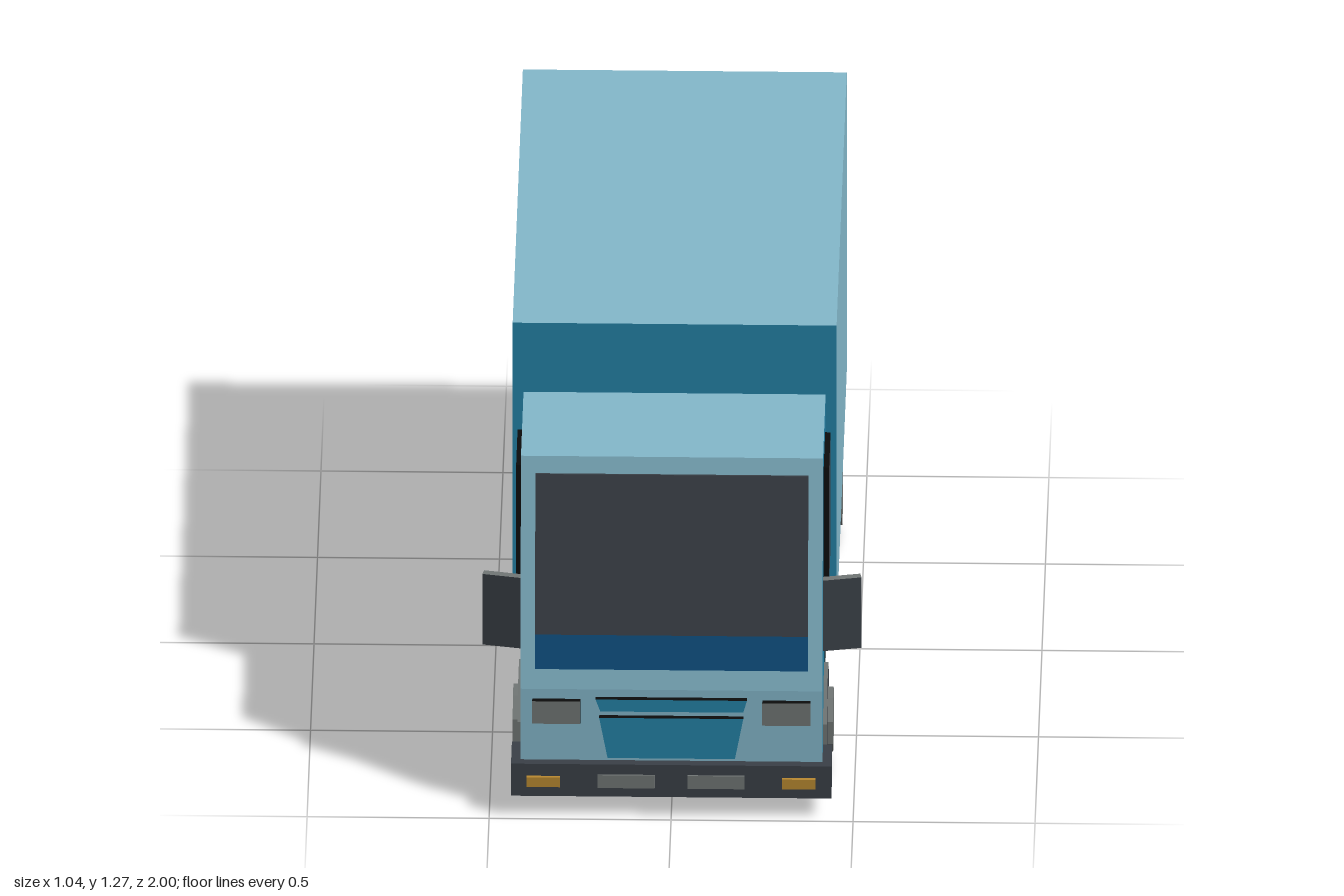
import * as THREE from 'three';

const mat = (name, hex) => {
  const m = new THREE.MeshStandardMaterial({ color: hex });
  m.name = name;
  return m;
};

export function createModel() {
  const light = mat('paleBlue', 0x84b8cb);
  const teal = mat('teal', 0x2482a7);
  const dark = mat('darkGrey', 0x3a4047);
  const black = mat('black', 0x0c0c0c);
  const grey = mat('grey', 0x717675);
  const orange = mat('orange', 0xb98930);
  const navy = mat('navy', 0x0f4e7e);

  const truck = new THREE.Group();
  truck.name = 'boxTruck';

  const add = (name, geo, material, parent = truck) => {
    const m = new THREE.Mesh(geo, material);
    m.name = name;
    parent.add(m);
    return m;
  };
  // Box from its limits; material order is +x, -x, +y, -y, +z, -z
  const box = (name, material, [x0, x1], [y0, y1], [z0, z1], parent = truck) => {
    const m = add(name, new THREE.BoxGeometry(x1 - x0, y1 - y0, z1 - z0), material, parent);
    m.position.set((x0 + x1) / 2, (y0 + y1) / 2, (z0 + z1) / 2);
    return m;
  };
  const shapeOf = (pts) => new THREE.Shape(pts.map(([a, b]) => new THREE.Vector2(a, b)));
  // Side profile of [z, y] points, extruded across x from x0 to x1
  const across = (name, mats, pts, x0, x1) => {
    const g = new THREE.ExtrudeGeometry(shapeOf(pts), { depth: x1 - x0, bevelEnabled: false });
    g.rotateY(-Math.PI / 2).translate(x1, 0, 0);
    return add(name, g, mats);
  };
  // Front profile of [x, y] points, extruded along z from z0 to z1
  const along = (name, mats, pts, z0, z1) => {
    const g = new THREE.ExtrudeGeometry(shapeOf(pts), { depth: z1 - z0, bevelEnabled: false });
    return add(name, g.translate(0, 0, z0), mats);
  };
  // Faceted eight-sided cylinder lying along x, with a flat underside
  const octagon = (apothem, width) => {
    const r = apothem / Math.cos(Math.PI / 8);
    const g = new THREE.CylinderGeometry(r, r, width, 8).rotateY(Math.PI / 8).rotateZ(-Math.PI / 2).toNonIndexed();
    g.computeVertexNormals();
    return g;
  };

  // Cargo box with teal ends and underside
  box('cargoBox', [light, light, light, teal, teal, teal], [-0.445, 0.445], [0.335, 1.27], [-0.98, 0.485]);

  // Cab: pale wrap-around skin, teal sides
  across('cab', [teal, light], [
    [0.495, 0.33], [0.76, 0.33], [0.84, 0.26], [0.84, 0.08], [0.962, 0.08],
    [0.962, 0.385], [0.865, 1.06], [0.495, 1.06],
  ], -0.415, 0.415);

  // Windshield on the sloped front
  const slope = new THREE.Group();
  slope.name = 'windshield';
  slope.position.set(0, 0.385, 0.962);
  slope.rotation.x = -Math.atan2(0.097, 0.675);
  truck.add(slope);
  const up = (y) => (y - 0.385) / Math.cos(slope.rotation.x);
  box('glass', dark, [-0.375, 0.375], [up(0.545), up(1.01)], [0, 0.007], slope);
  box('lowerGlassBand', navy, [-0.375, 0.375], [up(0.445), up(0.545)], [0, 0.007], slope);

  // Grille
  along('upperGrille', [teal, black], [[-0.195, 0.325], [0.198, 0.325], [0.208, 0.362], [-0.208, 0.362]], 0.95, 0.978);
  along('lowerGrille', [teal, black], [[-0.175, 0.18], [0.175, 0.18], [0.198, 0.305], [-0.198, 0.305]], 0.95, 0.978);

  // Front bumper, wider than the cab
  box('frontBumper', dark, [-0.44, 0.44], [0.065, 0.165], [0.86, 0.988]);

  // Chassis and tail bracket
  box('chassis', black, [-0.2, 0.2], [0.23, 0.365], [-0.79, 0.82]);
  box('rearCrossMember', black, [-0.33, 0.33], [0.23, 0.336], [-0.79, -0.7]);
  across('tailBracket', black, [[-0.79, 0.24], [-0.79, 0.315], [-0.93, 0.25], [-0.965, 0.23], [-0.965, 0.175]].reverse(), -0.33, 0.33);

  // Rear bumper
  box('rearBumper', [grey, grey, teal, black, black, dark], [-0.41, 0.41], [0.155, 0.27], [-0.96, -0.92]);

  // Equipment box under the cargo floor
  box('equipmentBox', [grey, grey, black, dark, black, black], [-0.41, 0.41], [0.085, 0.333], [-0.21, 0.285]);

  // Door handle across the rear seam
  box('doorHandle', [black, black, teal, black, grey, grey], [-0.115, 0.115], [0.475, 0.5], [-1, -0.975]);

  // Axles
  for (const z of [0.675, -0.635]) {
    add('axle', octagon(0.1, 0.52), dark).position.set(0, 0.145, z);
  }

  // Paired parts
  for (const s of [-1, 1]) {
    const span = (a, b) => (s > 0 ? [a, b] : [-b, -a]);

    for (const z of [0.675, -0.635]) {
      add('tire', octagon(0.145, 0.175), [grey, dark, dark]).position.set(s * 0.3375, 0.145, z);
      add('hub', octagon(0.083, 0.04), grey).position.set(s * 0.42, 0.145, z);
    }

    // Side window
    const [w0, w1] = span(0.41, 0.43);
    across('sideWindow', [dark, black], [
      [0.565, 0.62], [0.7, 0.62], [0.775, 0.49], [0.84, 0.49], [0.77, 0.98], [0.565, 0.98],
    ], w0, w1);

    // Mirror, swept back toward its outer edge
    const mirror = add('mirror', new THREE.BoxGeometry(0.108, 0.22, 0.022),
      [dark, dark, grey, dark, dark, grey]);
    mirror.position.set(s * 0.466, 0.58, 0.865);
    mirror.rotation.y = s * 0.2;

    // Front lamps
    box('headlight', [black, black, black, black, grey, grey], span(0.25, 0.382), [0.285, 0.355], [0.95, 0.978]);
    box('turnSignal', orange, span(0.305, 0.397), [0.098, 0.128], [0.98, 0.998]);
    box('fogLight', grey, span(0.045, 0.202), [0.094, 0.134], [0.984, 0.993]);

    // Equipment box hatch and slots
    box('hatch', teal, span(0.405, 0.419), [0.15, 0.262], [0.07, 0.215]);
    for (const y of [0.15, 0.21, 0.27]) {
      box('slot', teal, span(0.405, 0.419), [y - 0.013, y + 0.013], [-0.135, -0.015]);
    }

    // Rear door panel with clipped corners
    const [a, b] = span(0.018, 0.43), c = 0.025, y0 = 0.358, y1 = 1.248;
    along('rearDoor', light, [
      [a + c, y0], [b - c, y0], [b, y0 + c], [b, y1 - c],
      [b - c, y1], [a + c, y1], [a, y1 - c], [a, y0 + c],
    ], -0.984, -0.978);

    // Rear lamps
    box('rearLampPanel', black, span(0.21, 0.395), [0.18, 0.243], [-0.965, -0.957]);
    box('rearLamp', orange, span(0.21, 0.265), [0.182, 0.241], [-0.968, -0.96]);
  }

  return truck;
}
